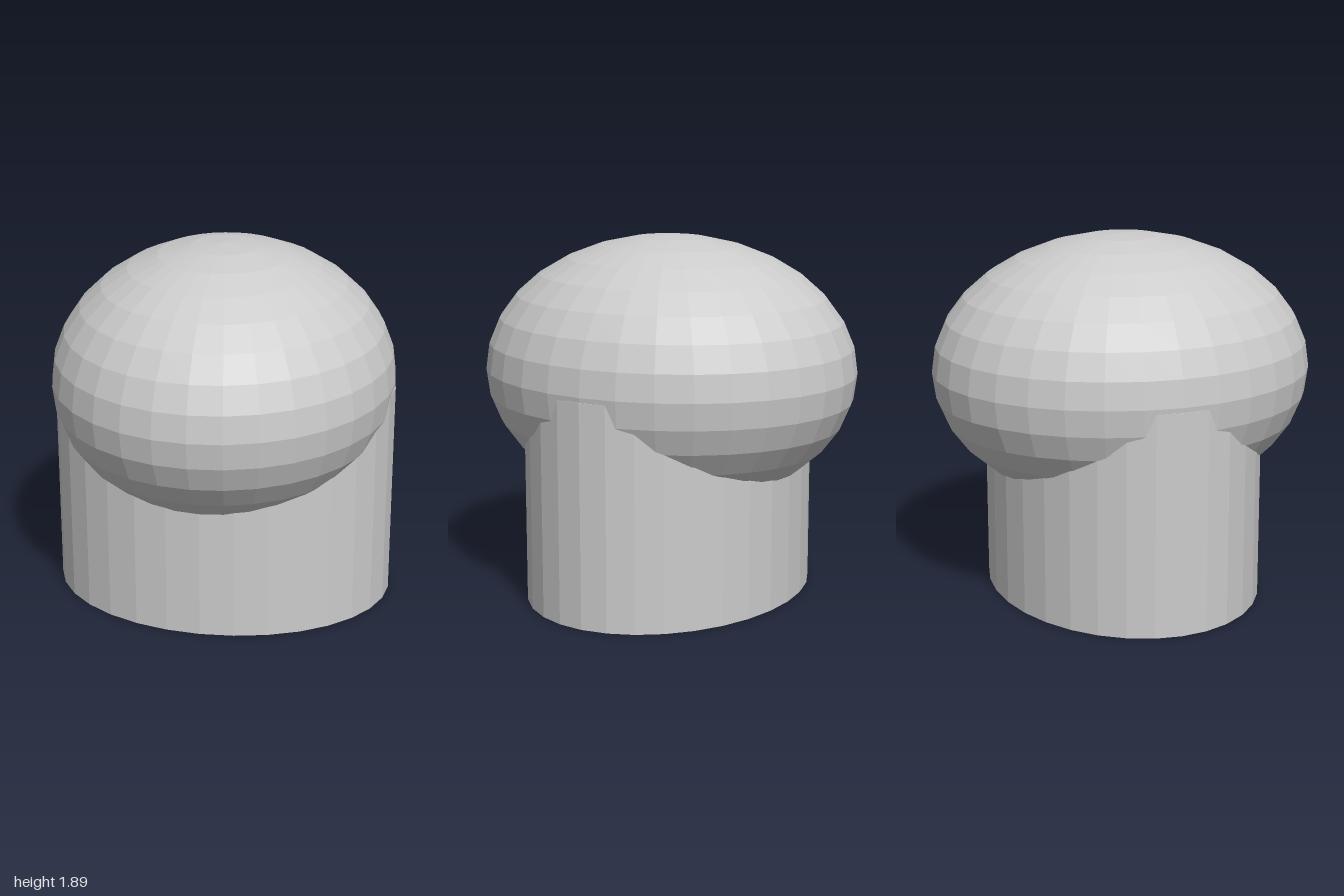
import * as THREE from 'three';

export function createModel() {
  const group = new THREE.Group();
  const material = new THREE.MeshStandardMaterial({ color: 0xcccccc, flatShading: true });

  // Oval column standing on the ground, its top buried in the cap
  const height = 1.155;
  const stem = new THREE.Mesh(new THREE.CylinderGeometry(1, 1, height, 32), material);
  stem.name = 'stem';
  stem.scale.set(0.902, 1, 0.706);
  stem.position.y = height / 2;
  group.add(stem);

  // Flattened ellipsoid cap, longest from front to back
  const cap = new THREE.Mesh(new THREE.SphereGeometry(1, 32, 16), material);
  cap.name = 'cap';
  cap.scale.set(0.9, 0.707, 1);
  cap.position.y = 1.18;
  group.add(cap);

  return group;
}
